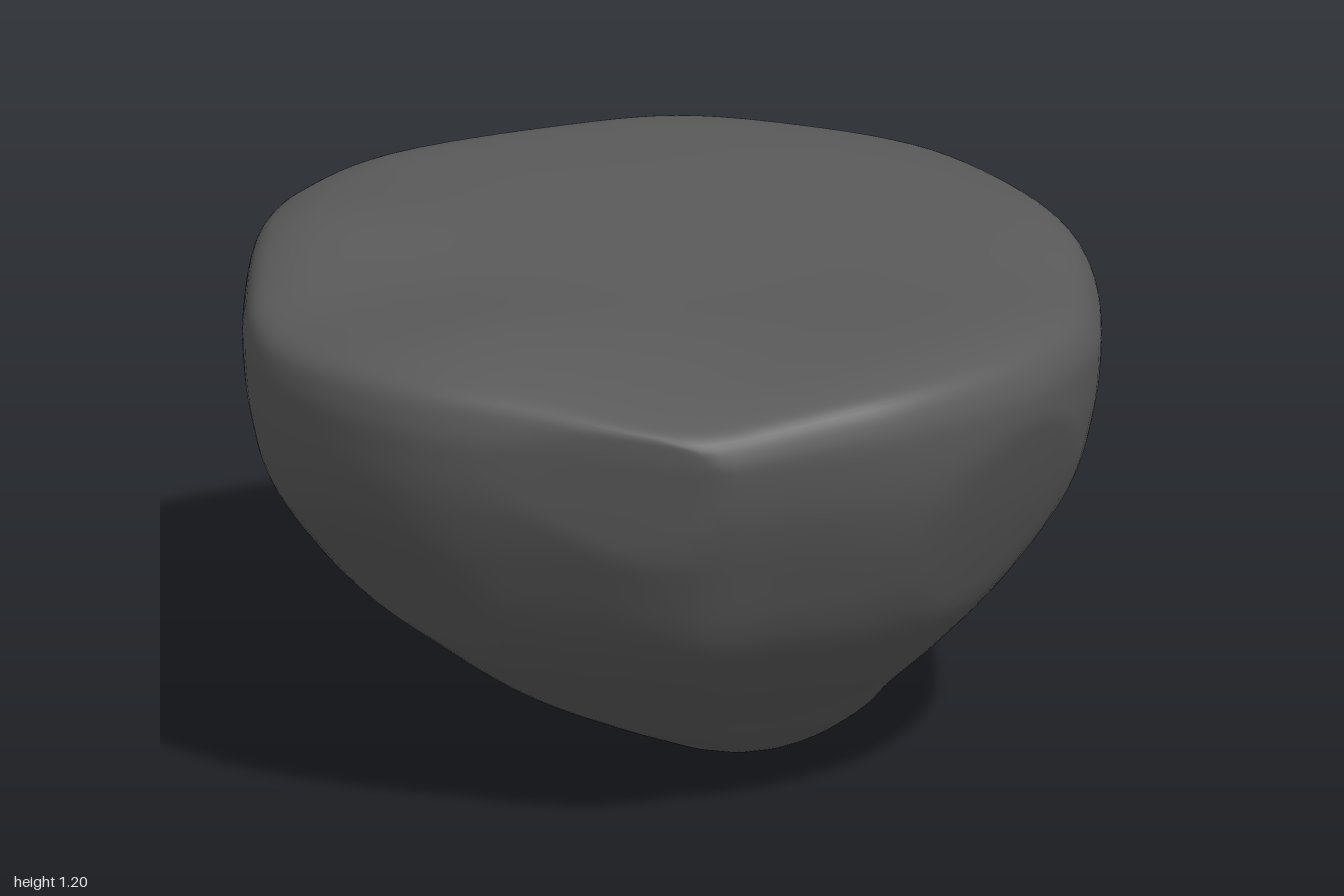
import * as THREE from 'three';

// Plan outline of the rim, from +x round through +z
const OUTLINE = [
  [0.965, 0.05], [0.95, 0.3], [0.83, 0.56], [0.55, 0.82], [0.27, 0.93], [0.05, 1], [-0.28, 0.93],
  [-0.6, 0.82], [-0.84, 0.58], [-0.95, 0.32], [-0.965, 0.08], [-0.94, -0.28], [-0.87, -0.48],
  [-0.7, -0.71], [-0.27, -0.93], [0, -1], [0.28, -0.945], [0.58, -0.81], [0.79, -0.57], [0.92, -0.3],
];

// Cross-sections from the tip to the middle of the top: y, xMin, xMax, zMin, zMax
const SECTIONS = [
  [0, 0.13, 0.13, 0.02, 0.02],
  [0.008, 0.04, 0.24, -0.07, 0.1],
  [0.05, -0.06, 0.34, -0.19, 0.2],
  [0.12, -0.24, 0.44, -0.33, 0.31],
  [0.2, -0.4, 0.51, -0.45, 0.42],
  [0.33, -0.56, 0.63, -0.61, 0.6],
  [0.5, -0.75, 0.77, -0.76, 0.78],
  [0.7, -0.9, 0.9, -0.87, 0.89],
  [0.87, -0.95, 0.95, -0.95, 0.965],
  [1.0, -0.965, 0.965, -0.995, 0.995],
  [1.07, -0.965, 0.96, -0.995, 0.995],
  [1.13, -0.945, 0.925, -0.96, 0.97],
  [1.16, -0.89, 0.86, -0.9, 0.9],
  [1.175, -0.78, 0.75, -0.79, 0.78],
  [1.178, -0.5, 0.5, -0.5, 0.5],
  [1.175, -0.25, 0.25, -0.25, 0.25],
  [1.175, 0, 0, 0, 0],
];

// Broad worn faces: direction and how deep each one is cut
const FACETS = [
  [-0.55, -0.6, 0.6, 0.95], [0.75, -0.4, 0.55, 0.95], [0.6, -0.45, -0.65, 0.96],
  [-0.65, -0.5, -0.55, 0.97], [-0.15, -0.15, 1, 0.96],
];

// Gentle swellings and hollows of the top: x, z, radius, height
const BUMPS = [
  [-0.75, -0.15, 0.25, 0.025], [-0.4, 0.58, 0.25, 0.025], [0.1, 0.95, 0.3, -0.05],
  [-0.9, 0.45, 0.2, -0.02], [0.9, 0.1, 0.25, -0.015], [0.25, 0.2, 0.4, -0.012], [0.1, -0.6, 0.3, 0.006],
];

function createStone() {
  const rows = 80, cols = 112;
  const outline = new THREE.CatmullRomCurve3(
    OUTLINE.map(([x, z]) => new THREE.Vector3(x / 0.965, 0, z)), true);
  const columns = [0, 1, 2, 3, 4].map(
    (k) => new THREE.SplineCurve(SECTIONS.map((s, i) => new THREE.Vector2(i, s[k]))));
  const points = [];

  // Loft the outline through the sections
  for (let i = 0; i <= rows; i++) {
    const [y, x0, x1, z0, z1] = columns.map((c) => c.getPoint(i / rows).y);
    for (let j = 0; j < cols; j++) {
      const o = outline.getPoint(j / cols);
      points.push(new THREE.Vector3(
        (x0 + x1) / 2 + o.x * (x1 - x0) / 2, Math.max(y, 0), (z0 + z1) / 2 + o.z * (z1 - z0) / 2));
    }
  }

  // Flatten the sides softly against each facet
  for (const [nx, ny, nz, depth] of FACETS) {
    const n = new THREE.Vector3(nx, ny, nz).normalize();
    const middle = new THREE.Vector3(0, 0.75, 0);
    const reach = (p) => p.clone().sub(middle).dot(n);
    const limit = Math.max(...points.map(reach)) * depth;
    for (const p of points) {
      const excess = reach(p) - limit;
      if (excess > 0) p.addScaledVector(n, -0.75 * excess);
    }
  }

  // Roll the top surface
  for (const p of points) {
    const fade = THREE.MathUtils.smoothstep(p.y, 0.9, 1.16);
    for (const [x, z, r, h] of BUMPS) {
      p.y += fade * h * Math.exp(-((p.x - x) ** 2 + (p.z - z) ** 2) / (r * r));
    }
  }

  const index = [];
  for (let i = 0; i < rows; i++) {
    for (let j = 0; j < cols; j++) {
      const a = i * cols + j, b = i * cols + (j + 1) % cols;
      if (i < rows - 1) index.push(a, a + cols, b + cols);
      else index.push(a, a + cols, b);
      if (i > 0 && i < rows - 1) index.push(a, b + cols, b);
    }
  }
  const geometry = new THREE.BufferGeometry().setFromPoints(points);
  geometry.setIndex(index);
  geometry.computeVertexNormals();
  return geometry;
}

export function createModel() {
  const group = new THREE.Group();
  group.name = 'rock';
  const stone = new THREE.Mesh(createStone(), new THREE.MeshStandardMaterial({ color: 0x5a5a5a }));
  stone.name = 'stone';
  group.add(stone);
  return group;
}
